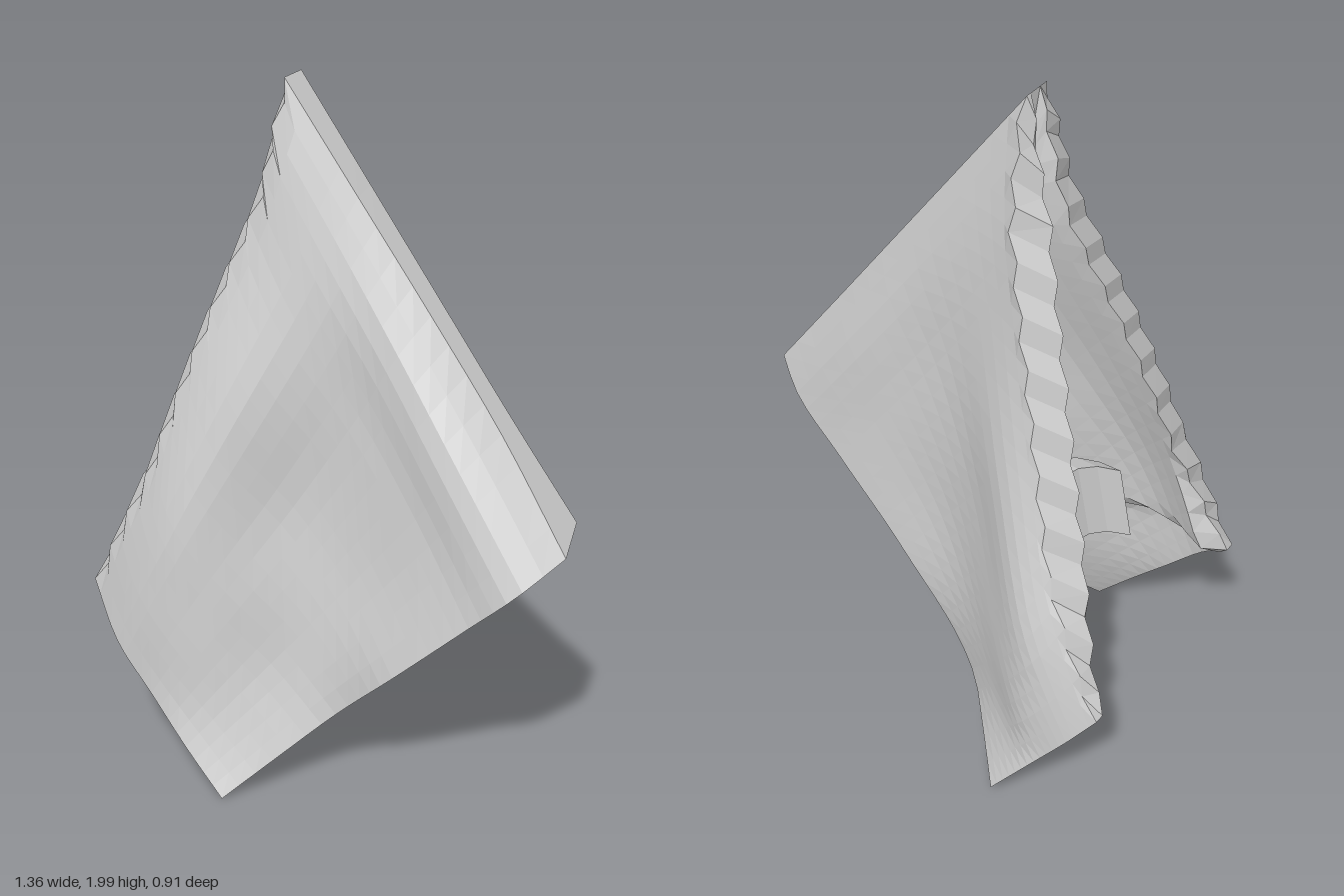
import * as THREE from 'three';

const ROWS = 24, COLS = 16;
const S_KNOTS = [0, 0.25, 0.5, 0.75, 1];

// Each panel: corners (ridge start, ridge end, lower tip, outer tip) and depth rows from ridge to hem
const FRONT = {
  side: 1,
  thickness: 0.13,
  corners: [[-0.18, 2], [0.68, 0.82], [-0.19, 0.01], [-0.68, 0.53]],
  knots: [0, 0.08, 0.25, 0.5, 0.72, 0.86, 1],
  depth: [
    0.06, 0.055, 0.05, 0.055, 0.10,
    0.10, 0.105, 0.13, 0.17, 0.21,
    0.15, 0.17, 0.14, 0.17, 0.23,
    0.25, 0.29, 0.20, 0.19, 0.25,
    0.31, 0.38, 0.34, 0.27, 0.245,
    0.325, 0.40, 0.40, 0.36, 0.34,
    0.32, 0.40, 0.42, 0.44, 0.45],
};
const BACK = {
  side: -1,
  thickness: 0.085,
  corners: [[-0.18, 2], [0.65, 0.86], [-0.38, 0.03], [-0.68, 0.42]],
  knots: [0, 0.08, 0.25, 0.5, 0.8, 0.9, 1],
  depth: [
    0.03, 0.03, 0.03, 0.03, 0.04,
    0.08, 0.08, 0.08, 0.09, 0.09,
    0.16, 0.14, 0.11, 0.11, 0.12,
    0.26, 0.28, 0.21, 0.16, 0.16,
    0.37, 0.42, 0.39, 0.32, 0.25,
    0.39, 0.43, 0.43, 0.38, 0.35,
    0.40, 0.43, 0.44, 0.45, 0.46],
};

// Point on a panel: s runs along the ridge, t runs down to the hem
function panelPoint(panel, s, t, row, inner) {
  const [a, b, c, d] = panel.corners;
  const mix = k => (1 - t) * ((1 - s) * a[k] + s * b[k]) + t * ((1 - s) * d[k] + s * c[k]);
  let x = mix(0), y = mix(1);
  const line = new THREE.CubicInterpolant(panel.knots, panel.depth, 5).evaluate(t);
  let z = new THREE.CubicInterpolant(S_KNOTS, Array.from(line), 1).evaluate(s)[0];
  const taper = Math.min(1, 5 * t, 4 * (1 - t));
  if (inner) {
    // double layer above, single layer near the hem
    const layer = s === 0 ? taper : THREE.MathUtils.smoothstep(y, 0.48, 0.58);
    z = Math.max(z - 0.03 - layer * (panel.thickness - 0.03), 0.012);
    const under = s === 0 ? 0 : 0.06 * Math.pow(1 - t, 8);
    x -= 0.8 * under;
    y -= 0.6 * under;
  } else {
    // bevel of the open edge
    x += 0.06 * taper * Math.pow(1 - s, 4);
  }
  // saw-toothed open edge
  if (s === 0 && row > 0 && row < ROWS) x += ((row + (inner ? 1 : 0)) % 2) * 0.02;
  return [x, y, z * panel.side];
}

// Thick cloth: closed cross-section loops from the back hem, over the ridge, to the front hem
function clothGeometry() {
  const pos = [], index = [];
  const ring = 2 * (COLS + 1), count = 2 * (ROWS + 1);
  for (let i = 0; i < count; i++) {
    const panel = i <= ROWS ? BACK : FRONT;
    const row = i <= ROWS ? ROWS - i : i - ROWS - 1;
    for (let k = 0; k < ring; k++) {
      const inner = k > COLS;
      const j = inner ? ring - 1 - k : k;
      pos.push(...panelPoint(panel, j / COLS, row / ROWS, row, inner));
    }
  }
  const quad = (a, b, c, d) => index.push(a, b, c, a, c, d);
  for (let i = 0; i < count - 1; i++) {
    for (let k = 0; k < ring; k++) {
      const n = (k + 1) % ring;
      quad(i * ring + k, (i + 1) * ring + k, (i + 1) * ring + n, i * ring + n);
    }
  }
  // hem caps
  const last = (count - 1) * ring;
  for (let j = 0; j < COLS; j++) {
    const o = j, p = ring - 1 - j;
    quad(o, o + 1, p - 1, p);
    quad(last + o, last + p, last + p - 1, last + o + 1);
  }
  const geo = new THREE.BufferGeometry();
  geo.setAttribute('position', new THREE.Float32BufferAttribute(pos, 3));
  geo.setIndex(index);
  geo.computeVertexNormals();
  return geo;
}

// Small fold bridging the inside of the two panels
function bridgeGeometry() {
  const geo = new THREE.BoxGeometry(0.07, 0.22, 0.38, 1, 2, 6);
  const p = geo.attributes.position;
  for (let i = 0; i < p.count; i++) {
    const y = p.getY(i), z = p.getZ(i);
    p.setXYZ(i, p.getX(i) - 0.29 - 2 * z * z + 0.2 * y, y + 0.71 - 2 * z * z, z);
  }
  geo.computeVertexNormals();
  return geo;
}

export function createModel() {
  const group = new THREE.Group();
  group.name = 'foldedCloth';
  const material = new THREE.MeshStandardMaterial({
    color: 0xcccccc, flatShading: true, side: THREE.DoubleSide,
  });
  const add = (name, geo) => {
    const mesh = new THREE.Mesh(geo, material);
    mesh.name = name;
    group.add(mesh);
  };
  add('drapedPanels', clothGeometry());
  add('innerFold', bridgeGeometry());
  return group;
}
